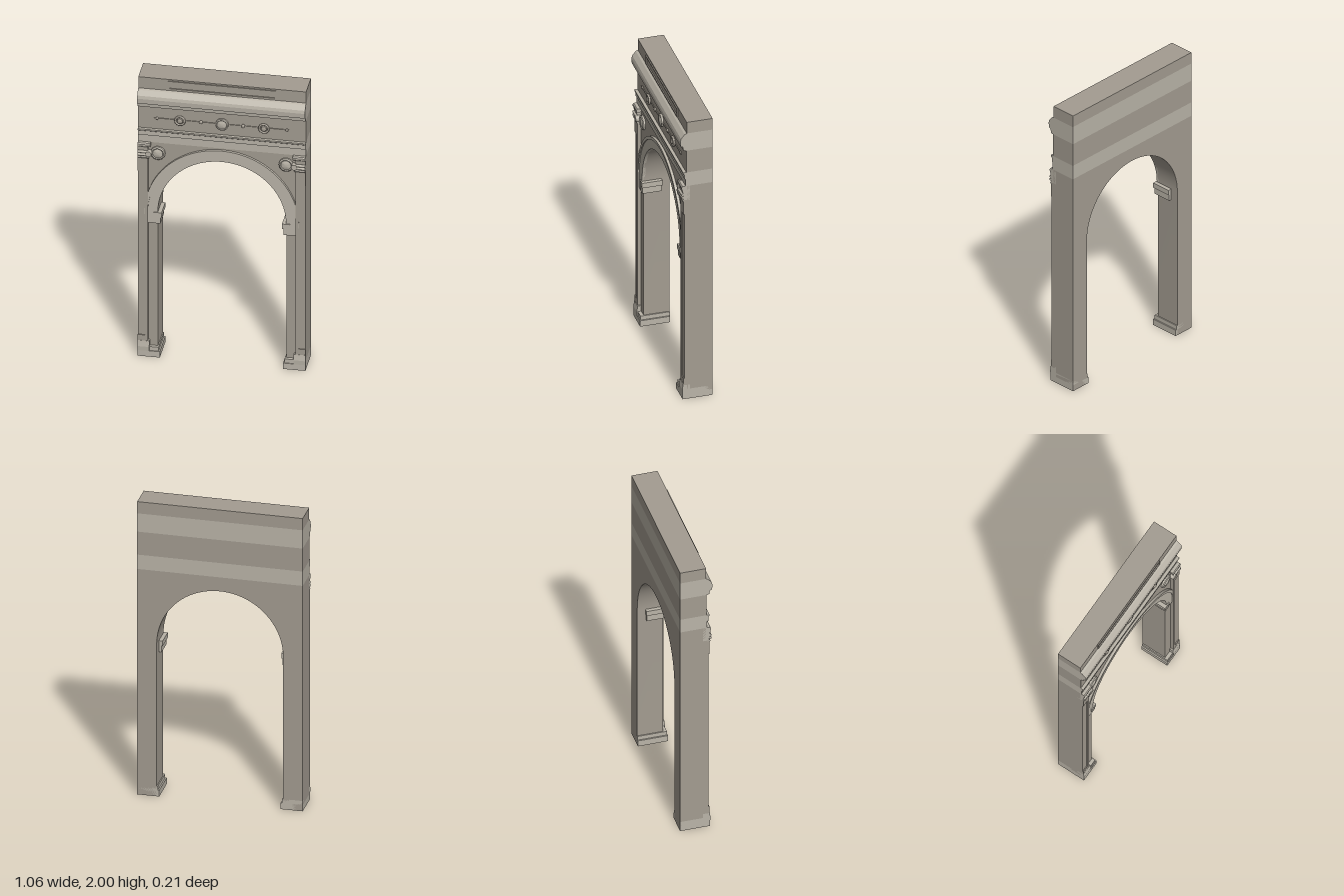
import * as THREE from 'three';
import { toCreasedNormals } from 'three/addons/utils/BufferGeometryUtils.js';

const BACK = -0.105, WALL = 0.063, HALF = 0.53, SPRING = 1.04, R = 0.405;
const pale = new THREE.MeshStandardMaterial({ color: 0xbab4a8 });
const stone = new THREE.MeshStandardMaterial({ color: 0xa39c91 });

export function createModel() {
  const model = new THREE.Group();

  function add(name, geometry, material, x = 0, y = 0, z = 0) {
    const mesh = new THREE.Mesh(geometry, material);
    mesh.name = name;
    mesh.position.set(x, y, z);
    model.add(mesh);
    return mesh;
  }
  // Box given by its limits
  function block(name, material, x0, x1, y0, y1, z0, z1) {
    return add(name, new THREE.BoxGeometry(Math.abs(x1 - x0), y1 - y0, z1 - z0), material,
      (x0 + x1) / 2, (y0 + y1) / 2, (z0 + z1) / 2);
  }
  // Outline in x, y pushed forward from z0 to z1
  function slab(name, material, shape, z0, z1) {
    const g = new THREE.ExtrudeGeometry(shape, { depth: z1 - z0, bevelEnabled: false, curveSegments: 32 });
    return add(name, toCreasedNormals(g, 0.5), material, 0, 0, z0);
  }
  // Moulding: front profile of [z, y] points, closed at the back, run along x
  function course(name, material, front, x0 = -HALF, x1 = HALF, back = BACK) {
    const pts = [[back, front[0][1]], ...front, [back, front[front.length - 1][1]]];
    const shape = new THREE.Shape(pts.map(p => new THREE.Vector2(p[0], p[1])));
    const g = new THREE.ExtrudeGeometry(shape, { depth: x1 - x0, bevelEnabled: false });
    g.rotateY(-Math.PI / 2);
    return add(name, g, material, x1);
  }
  // Round ornament facing forward, profile of [radius, height] points
  function roundel(name, material, profile, x, y, z) {
    const g = new THREE.LatheGeometry(profile.map(p => new THREE.Vector2(p[0], p[1])), 24);
    g.rotateX(Math.PI / 2);
    return add(name, toCreasedNormals(g, 0.6), material, x, y, z);
  }

  // Wall with the arched opening
  const wall = new THREE.Shape();
  wall.moveTo(-HALF, 0);
  wall.lineTo(-R, 0);
  wall.lineTo(-R, SPRING);
  wall.absarc(0, SPRING, R, Math.PI, 0, true);
  wall.lineTo(R, 0);
  wall.lineTo(HALF, 0);
  wall.lineTo(HALF, 1.54);
  wall.lineTo(-HALF, 1.54);
  slab('wall', stone, wall, BACK, WALL);

  // Archivolt: flat band with a raised outer rim
  function archBand(inner, outer, bottom) {
    const s = new THREE.Shape();
    s.moveTo(-outer, bottom);
    s.lineTo(-outer, SPRING);
    s.absarc(0, SPRING, outer, Math.PI, 0, true);
    s.lineTo(outer, bottom);
    s.lineTo(inner, bottom);
    s.lineTo(inner, SPRING);
    s.absarc(0, SPRING, inner, 0, Math.PI, false);
    s.lineTo(-inner, bottom);
    return s;
  }
  slab('archBand', pale, archBand(R, 0.468, 0.96), WALL - 0.01, 0.073);
  slab('archRim', pale, archBand(0.467, 0.487, 1.02), WALL - 0.01, 0.08);

  // Entablature courses
  course('architrave', pale, [[0.07, 1.54], [0.07, 1.588], [0.078, 1.592],
    [0.078, 1.622], [0.086, 1.628], [0.086, 1.638]]);
  course('frieze', stone, [[0.066, 1.638], [0.066, 1.795]]);
  course('cornice', pale, [[0.07, 1.795], [0.085, 1.8], [0.088, 1.825], [0.102, 1.83],
    [0.105, 1.865], [0.1, 1.885], [0.077, 1.913], [WALL, 1.92]]);
  course('attic', stone, [[WALL, 1.92], [WALL, 2]]);

  // Framed panel on the attic
  const frame = new THREE.Shape();
  const hole = new THREE.Path();
  [[frame, 0.34, 1.93, 1.99], [hole, 0.332, 1.938, 1.982]].forEach(([p, w, y0, y1]) => {
    p.moveTo(-w, y0);
    p.lineTo(w, y0);
    p.lineTo(w, y1);
    p.lineTo(-w, y1);
    p.closePath();
  });
  frame.holes.push(hole);
  slab('atticPanelFrame', stone, frame, WALL - 0.005, 0.07);

  // Frieze ornaments on a thin cord
  block('friezeCord', stone, -0.43, 0.43, 1.711, 1.718, 0.06, 0.071);
  roundel('friezeMedallion', pale, [[0.041, -0.02], [0.041, 0.012], [0.034, 0.016], [0.03, 0.013],
    [0.015, 0.018], [0, 0.02]], 0, 1.715, 0.066);

  for (const s of [-1, 1]) {
    const side = s > 0 ? 'left' : 'right';
    const part = (name, m, x0, x1, ...rest) => block(side + name, m, s * x0, s * x1, ...rest);
    const run = (name, m, front, x0, x1) =>
      course(side + name, m, front, s > 0 ? x0 : -x1, s > 0 ? x1 : -x0, WALL - 0.02);

    // Ringed rosette and small knots on the frieze
    add(side + 'RosetteRing', new THREE.TorusGeometry(0.029, 0.007, 8, 24), stone, s * 0.265, 1.715, 0.075);
    roundel(side + 'RosetteDisc', stone, [[0.03, -0.01], [0.03, 0.006], [0.02, 0.006], [0.017, 0.016],
      [0.009, 0.022], [0, 0.023]], s * 0.265, 1.715, 0.066);
    for (const [x, r] of [[0.133, 0.013], [0.41, 0.01]]) {
      const knot = add(side + 'FriezeKnot', new THREE.SphereGeometry(r, 10, 8), stone, s * x, 1.715, 0.068);
      knot.scale.set(0.9, 1, 0.8);
    }

    // Spandrel disc
    roundel(side + 'SpandrelDisc', pale, [[0.046, -0.01], [0.046, 0.012], [0.038, 0.018], [0.032, 0.014],
      [0.016, 0.019], [0, 0.022]], s * 0.405, 1.465, WALL);

    // Pilaster shaft, its sunk panel left open at the outer edge
    part('PilasterShaft', stone, 0.466, HALF, 0.1, 1.44, WALL - 0.02, 0.079);
    part('PilasterStile', stone, 0.466, 0.485, 0.1, 1.44, 0.07, 0.085);
    part('PilasterLowerRail', stone, 0.485, HALF, 0.1, 0.15, 0.07, 0.085);
    part('PilasterUpperRail', stone, 0.485, HALF, 1.335, 1.44, 0.07, 0.085);

    // Capital: neck ring, bell, scroll and abacus
    run('CapitalNeck', pale, [[0.087, 1.43], [0.092, 1.437], [0.087, 1.444]], 0.46, HALF);
    run('CapitalBell', pale, [[0.083, 1.44], [0.085, 1.48], [0.093, 1.515]], 0.464, HALF);
    run('CapitalAbacus', pale, [[0.09, 1.515], [0.096, 1.52], [0.096, 1.532], [0.09, 1.54]], 0.45, HALF);
    for (const y of [1.458, 1.478]) {
      const roll = add(side + 'CapitalRoll', new THREE.CylinderGeometry(0.009, 0.009, 0.075, 12), pale,
        s * 0.4925, y, 0.09);
      roll.rotation.z = Math.PI / 2;
    }
    const scroll = add(side + 'CapitalScroll', new THREE.CylinderGeometry(0.019, 0.022, 0.03, 14), pale,
      s * 0.46, 1.467, 0.087);
    scroll.rotation.x = Math.PI / 2;

    // Impost block on the reveal
    part('ImpostLower', pale, 0.388, 0.43, 0.96, 1.005, -0.048, 0.076);
    part('ImpostUpper', pale, 0.38, 0.43, 1.005, 1.04, -0.052, 0.08);

    // Stepped base under the jamb and pilaster
    part('BasePlinth', pale, 0.389, HALF, 0, 0.042, BACK, 0.09);
    part('BaseStep', pale, 0.398, HALF, 0.042, 0.07, BACK, 0.085);
    run('PilasterBase', pale, [[0.09, 0.04], [0.092, 0.07], [0.088, 0.095], [0.086, 0.11]], 0.456, HALF);
  }
  return model;
}
